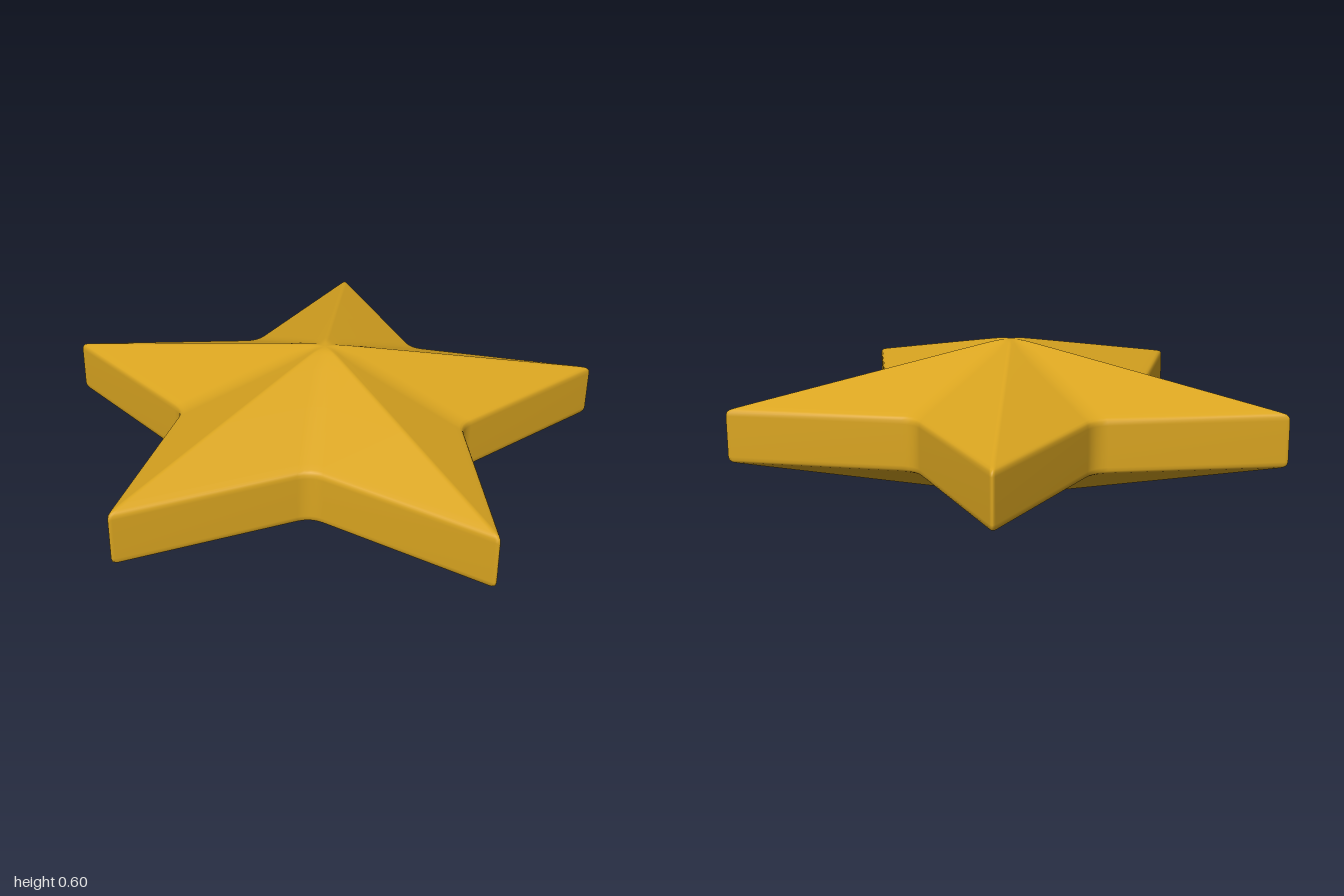
import * as THREE from 'three';

const CENTRE_X = 0.1, TIP = 1.061, VALLEY = 0.53, MID_Y = 0.3;
const STEPS = 5; // points around each rounded corner

// Five-pointed outline at a given scale, every corner softened by a small curve
function starRing(scale) {
  const corners = [];
  for (let i = 0; i < 10; i++) {
    const a = Math.PI + (i * Math.PI) / 5;
    const r = (i % 2 ? VALLEY : TIP) * scale;
    corners.push(new THREE.Vector2(r * Math.cos(a), r * Math.sin(a)));
  }
  const ring = [];
  corners.forEach((c, i) => {
    const prev = corners[(i + 9) % 10], next = corners[(i + 1) % 10];
    const cut = Math.min(i % 2 ? 0.05 : 0.022, 0.3 * c.distanceTo(next));
    const toward = (p) => c.clone().add(p.clone().sub(c).setLength(cut));
    const curve = new THREE.QuadraticBezierCurve(toward(prev), c, toward(next));
    ring.push(...curve.getPoints(STEPS - 1));
  });
  return ring;
}

function starGeometry() {
  // [scale, height above the middle]: vertical rim, soft edge, sloping roof, blunt peak
  const upper = [
    [1, 0.075], [0.997, 0.088], [0.988, 0.096], [0.97, 0.101], [0.93, 0.11],
    [0.5, 0.2035], [0.2, 0.2685], [0.09, 0.2915], [0.06, 0.297], [0.035, 0.2995],
  ];
  const profile = [...upper.map(([s, h]) => [s, -h]).reverse(), ...upper];
  const positions = [], index = [], n = 10 * STEPS;
  for (const [s, h] of profile) {
    for (const p of starRing(s)) positions.push(CENTRE_X + p.x, MID_Y + h, p.y);
  }
  const last = (profile.length - 1) * n;
  const bottom = profile.length * n, top = bottom + 1;
  positions.push(CENTRE_X, MID_Y - 0.3, 0, CENTRE_X, MID_Y + 0.3, 0);

  for (let j = 0; j < n; j++) {
    const k = (j + 1) % n;
    for (let row = 0; row < last; row += n) {
      index.push(row + j, row + n + j, row + k, row + k, row + n + j, row + n + k);
    }
    index.push(bottom, j, k, top, last + k, last + j);
  }
  const geometry = new THREE.BufferGeometry();
  geometry.setAttribute('position', new THREE.Float32BufferAttribute(positions, 3));
  geometry.setIndex(index);
  geometry.computeVertexNormals();
  return geometry;
}

export function createModel() {
  const group = new THREE.Group();
  group.name = 'star';
  const gold = new THREE.MeshStandardMaterial({ color: 0xdaa520 });
  const body = new THREE.Mesh(starGeometry(), gold);
  body.name = 'starBody';
  group.add(body);
  return group;
}
